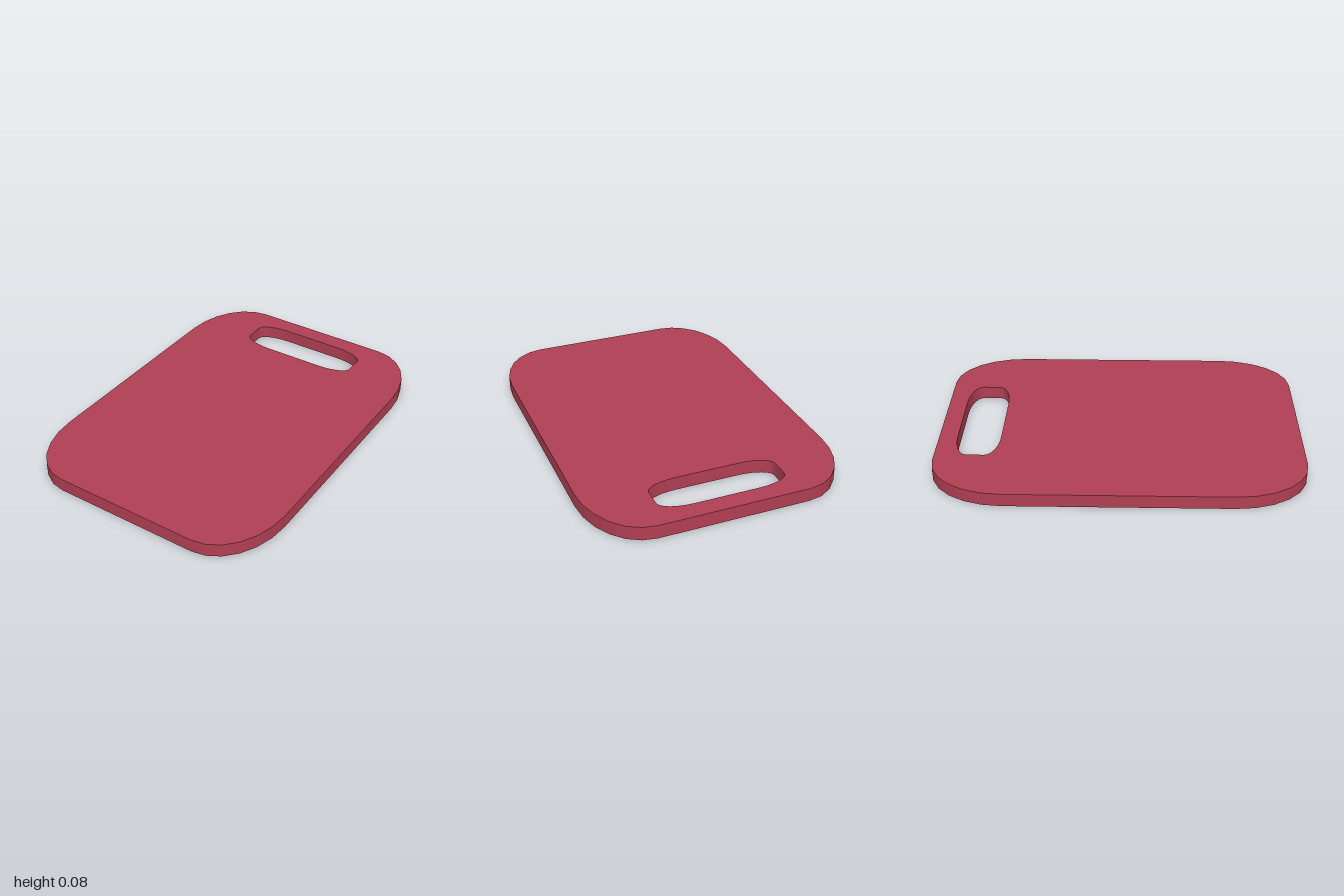
import * as THREE from 'three';
import { toCreasedNormals } from 'three/addons/utils/BufferGeometryUtils.js';

// Rectangle outline with elliptical corners (half sizes w, h; corner radii rx, ry)
function roundedOutline(path, cy, w, h, rx, ry) {
  const corners = [[1, 1], [-1, 1], [-1, -1], [1, -1]];
  const steps = 6;
  const points = [];
  corners.forEach(([sx, sy], i) => {
    for (let k = 0; k <= steps; k++) {
      const a = (i + k / steps) * Math.PI / 2;
      points.push(new THREE.Vector2(
        sx * (w - rx) + rx * Math.cos(a),
        cy + sy * (h - ry) + ry * Math.sin(a)));
    }
  });
  return path.setFromPoints(points);
}

export function createModel() {
  const group = new THREE.Group();
  group.name = 'cuttingBoard';

  // Flat slab with a grip slot near the back edge
  const outline = roundedOutline(new THREE.Shape(), 0, 0.7, 1, 0.29, 0.4);
  outline.holes.push(roundedOutline(new THREE.Path(), 0.778, 0.352, 0.12, 0.177, 0.07));

  const slab = new THREE.ExtrudeGeometry(outline, { depth: 0.075, bevelEnabled: false });
  slab.rotateX(-Math.PI / 2);

  const board = new THREE.Mesh(
    toCreasedNormals(slab, Math.PI / 4),
    new THREE.MeshStandardMaterial({ color: 0xb03f53 }));
  board.name = 'board';
  group.add(board);

  return group;
}
